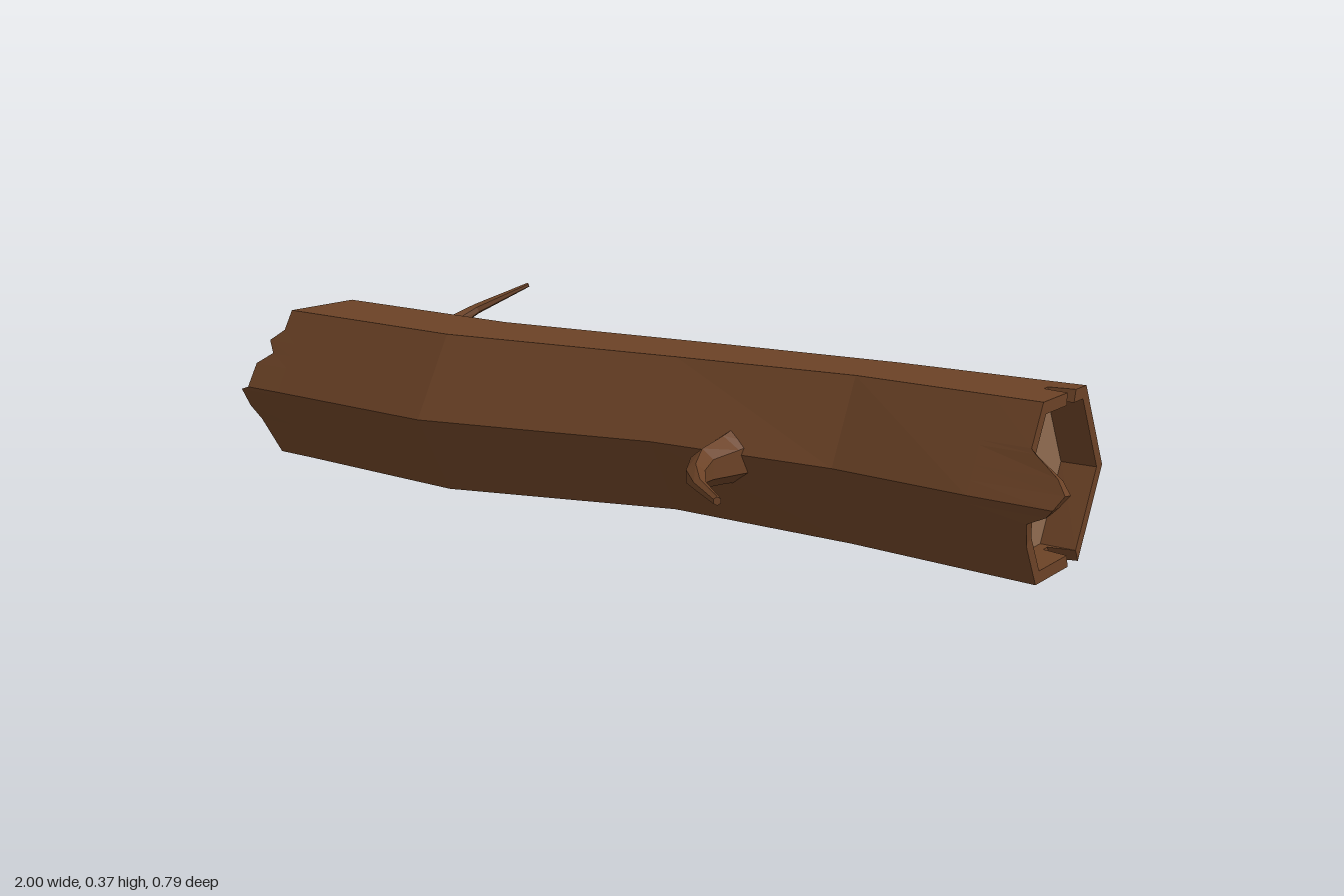
import * as THREE from 'three';

const bark = new THREE.MeshStandardMaterial({ color: 0x6b4226 });
bark.name = 'bark brown';
const wood = new THREE.MeshStandardMaterial({ color: 0x8f6b4f });
wood.name = 'cut wood tan';

// Trunk stations: x, centre y, centre z, radius, half height
const stations = [
  [-0.9, 0.165, -0.045, 0.195, 0.165],
  [-0.375, 0.165, 0.008, 0.193, 0.165],
  [0.155, 0.175, -0.047, 0.178, 0.153],
  [0.535, 0.167, -0.07, 0.166, 0.161],
  [0.92, 0.164, -0.048, 0.189, 0.164],
];

// Broken edge outlines: position round the hexagon (0 = front corner, 1 = top front ...), x
const leftEdge = [
  [0, -0.92], [0.3, -0.92], [0.45, -0.88], [0.6, -0.905], [0.75, -0.87], [1, -0.87],
  [2, -0.87], [2.5, -0.895], [3, -0.92], [3.25, -0.94], [3.4, -1], [3.55, -0.99],
  [3.7, -0.93], [4, -0.92], [4.45, -0.92], [4.55, -0.87], [4.65, -0.87], [4.75, -0.92],
  [5, -0.92], [5.5, -0.93], [5.7, -0.945], [5.95, -0.945], [6, -0.92],
];
const rightEdge = [
  [0, 0.985], [0.15, 1], [0.3, 0.98], [0.5, 0.93], [0.55, 0.92], [1, 0.92],
  [1.55, 0.92], [1.6, 0.87], [1.7, 0.87], [1.75, 0.92], [2, 0.92], [3, 0.92],
  [4, 0.92], [4.08, 0.87], [4.2, 0.87], [4.25, 0.92], [5, 0.92], [5.5, 0.92],
  [5.78, 0.93], [5.9, 0.97], [6, 0.985],
];

// Point on the bent hexagonal trunk
function trunkPoint(u, x, scale = 1) {
  const cx = THREE.MathUtils.clamp(x, stations[0][0], stations[4][0]);
  let i = 0;
  while (i < 3 && cx > stations[i + 1][0]) i++;
  const a = stations[i], b = stations[i + 1];
  const t = (cx - a[0]) / (b[0] - a[0]);
  const [, cy, cz, r, h] = a.map((v, k) => THREE.MathUtils.lerp(v, b[k], t));
  const corner = (k) => [Math.cos(k * Math.PI / 3), Math.sin(k * Math.PI / 3) / Math.sin(Math.PI / 3)];
  const k = Math.floor(u), f = u - k;
  const p = corner(k), q = corner(k + 1);
  return new THREE.Vector3(
    x,
    cy + scale * h * (p[1] + (q[1] - p[1]) * f),
    cz + scale * r * (p[0] + (q[0] - p[0]) * f),
  );
}

// Flat-faced skin through rows of points
function loft(rows) {
  const pts = [];
  for (let i = 0; i < rows.length - 1; i++) {
    for (let j = 0; j < rows[i].length - 1; j++) {
      const a = rows[i][j], b = rows[i + 1][j], c = rows[i][j + 1], d = rows[i + 1][j + 1];
      pts.push(a, b, c, b, d, c);
    }
  }
  return flatGeometry(pts);
}

function flatGeometry(pts) {
  const g = new THREE.BufferGeometry().setFromPoints(pts);
  g.computeVertexNormals();
  return g;
}

function addMesh(group, name, geometry, material) {
  const mesh = new THREE.Mesh(geometry, material);
  mesh.name = name;
  group.add(mesh);
}

// Tapered branch; each ring is x, y, z, side radius, upright radius
function branch(rings, sides = 6) {
  const centres = rings.map((r) => new THREE.Vector3(r[0], r[1], r[2]));
  const up = new THREE.Vector3(0, 1, 0);
  const rows = rings.map((r, i) => {
    const from = centres[Math.max(i - 1, 0)];
    const to = centres[Math.min(i + 1, centres.length - 1)];
    const dir = to.clone().sub(from).normalize();
    const n = up.clone().addScaledVector(dir, -up.dot(dir)).normalize();
    const side = n.clone().cross(dir);
    return Array.from({ length: sides + 1 }, (_, j) => {
      const a = (j / sides) * Math.PI * 2;
      return centres[i].clone()
        .addScaledVector(n, Math.cos(a) * r[4])
        .addScaledVector(side, Math.sin(a) * r[3]);
    });
  });
  rows.push(rows[0].map(() => centres[centres.length - 1].clone()));
  return loft(rows);
}

export function createModel() {
  const group = new THREE.Group();
  group.name = 'hollowLog';
  const inner = 0.86, discX = 0.85, bodyX = 0.82;
  const corners = [0, 1, 2, 3, 4, 5, 6];

  // Main trunk
  const xs = [-bodyX, ...stations.slice(1, 4).map((s) => s[0]), bodyX];
  addMesh(group, 'trunk', loft(xs.map((x) => corners.map((u) => trunkPoint(u, x)))), bark);

  // Splintered ends with a rim and a recessed face of cut wood
  for (const [side, edge, name] of [[-1, leftEdge, 'right'], [1, rightEdge, 'left']]) {
    const rows = [
      edge.map(([u]) => trunkPoint(u, side * bodyX)),
      edge.map(([u, x]) => trunkPoint(u, x)),
      edge.map(([u, x]) => trunkPoint(u, x, inner)),
      edge.map(([u]) => trunkPoint(u, side * discX, inner)),
    ];
    if (side < 0) rows.reverse();
    addMesh(group, name + 'SplinteredEnd', loft(rows), bark);

    const ring = corners.map((u) => trunkPoint(u, side * discX, inner));
    const centre = ring[0].clone().add(ring[3]).multiplyScalar(0.5);
    const fan = [];
    for (let k = 0; k < 6; k++) {
      if (side > 0) fan.push(centre, ring[k + 1], ring[k]);
      else fan.push(centre, ring[k], ring[k + 1]);
    }
    addMesh(group, name + 'CutFace', flatGeometry(fan), wood);
  }

  // Broken side branches
  addMesh(group, 'frontBranch', branch([
    [0.315, 0.16, 0.07, 0.05, 0.055],
    [0.315, 0.158, 0.12, 0.04, 0.047],
    [0.32, 0.158, 0.2, 0.026, 0.038],
    [0.345, 0.158, 0.26, 0.02, 0.024],
    [0.39, 0.159, 0.315, 0.013, 0.012],
    [0.475, 0.158, 0.39, 0.008, 0.008],
  ]), bark);
  addMesh(group, 'backBranch', branch([
    [-0.68, 0.245, -0.15, 0.05, 0.035],
    [-0.675, 0.255, -0.195, 0.032, 0.028],
    [-0.655, 0.282, -0.245, 0.021, 0.018],
    [-0.63, 0.31, -0.3, 0.014, 0.012],
    [-0.55, 0.362, -0.393, 0.006, 0.005],
  ]), bark);

  return group;
}
